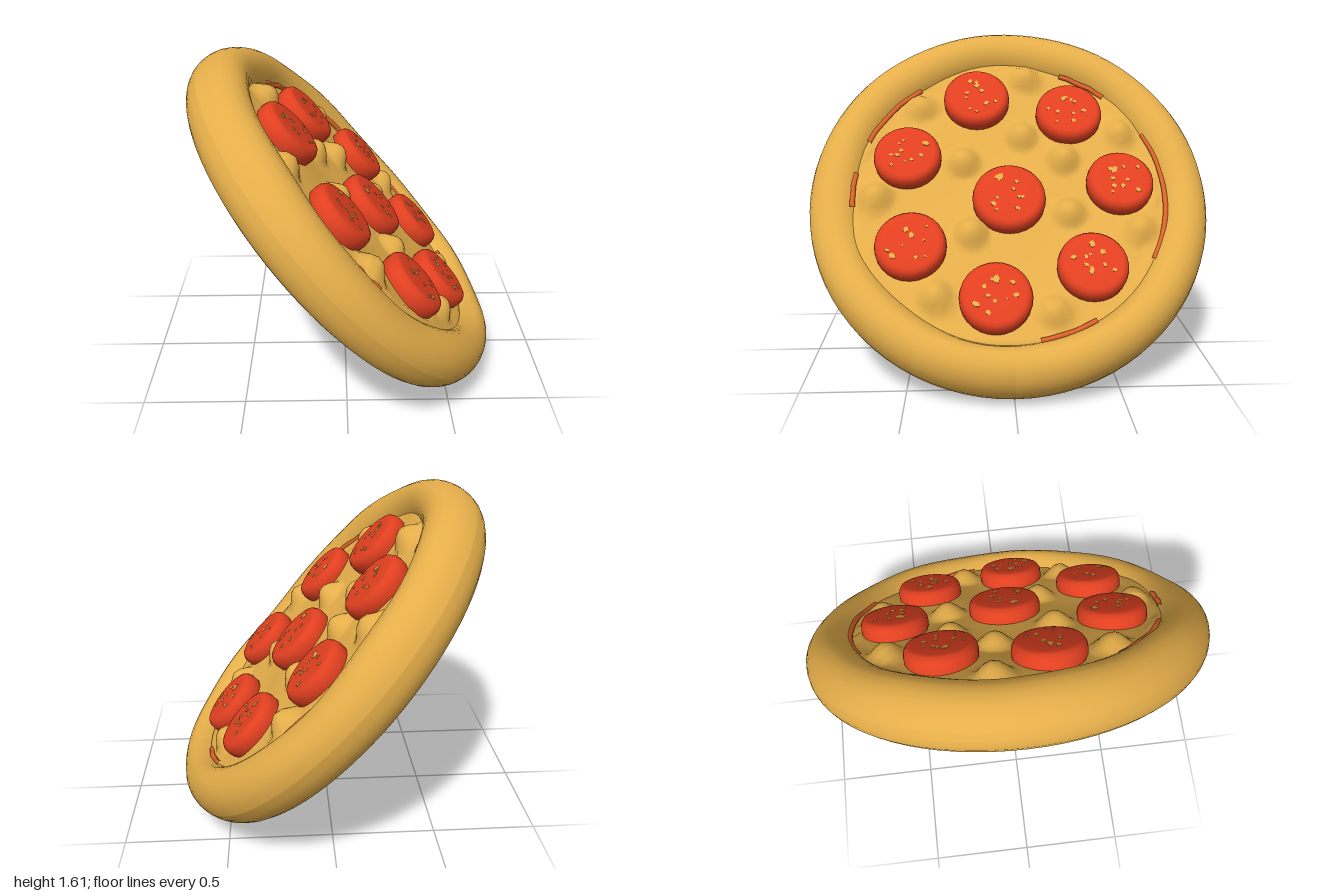
import * as THREE from 'three';

const dough = new THREE.MeshStandardMaterial({ color: 0xe5ae4a });
dough.name = 'golden dough';
const red = new THREE.MeshStandardMaterial({ color: 0xe24020 });
red.name = 'pepperoni red';
const orange = new THREE.MeshStandardMaterial({ color: 0xdf6429 });
orange.name = 'sauce orange';

// [x, z, radius] of the slices and [x, z] of the bubbles on the flat pizza
const SLICES = [[-0.53, 0.16, 0.172], [-0.435, -0.32, 0.172], [-0.175, 0.51, 0.17], [0.068, 0.005, 0.181],
  [-0.015, -0.55, 0.168], [0.32, 0.48, 0.172], [0.588, 0.08, 0.172], [0.437, -0.38, 0.17]];
const BUBBLES = [[-0.68, -0.1], [-0.5, 0.45], [-0.16, 0.23], [-0.175, -0.275], [-0.33, -0.58], [0.04, 0.66],
  [0.24, 0.195], [0.13, -0.29], [0.23, -0.63], [0.57, 0.36], [0.65, -0.19], [-0.32, -0.07]];
// Start and end angles of the sauce streaks
const STREAKS = [[-2.0, -1.05], [1.45, 1.7], [1.95, 2.5], [-0.5, -0.15], [-2.75, -2.4]];

let seed = 7;
const random = () => (seed = (seed * 16807) % 2147483647) / 2147483647;
const bell = (d, width) => Math.exp(-((d / width) ** 2));

function lathe(points, segments) {
  return new THREE.LatheGeometry(points.map(([r, y]) => new THREE.Vector2(r, y)), segments);
}

function addMesh(parent, name, geometry, material, x = 0, y = 0, z = 0) {
  const mesh = new THREE.Mesh(geometry, material);
  mesh.name = name;
  mesh.position.set(x, y, z);
  parent.add(mesh);
  return mesh;
}

// Moves every vertex by a rule, then smooths the normals
function warp(geometry, rule) {
  const p = geometry.attributes.position;
  const v = new THREE.Vector3();
  for (let i = 0; i < p.count; i++) {
    v.fromBufferAttribute(p, i);
    rule(v, Math.atan2(v.z, v.x), Math.hypot(v.x, v.z));
    p.setXYZ(i, v.x, v.y, v.z);
  }
  geometry.computeVertexNormals();
  return geometry;
}

export function createModel() {
  const model = new THREE.Group();
  model.name = 'pizza';
  const pizza = new THREE.Group();
  pizza.name = 'tiltedPizza';
  pizza.rotation.z = -0.835;
  pizza.position.y = 0.804;
  model.add(pizza);

  // Raised crust: an oval tube that dips along both sides and opens wider at the low end
  const crust = new THREE.TorusGeometry(0.875, 0.13, 24, 80);
  crust.rotateX(Math.PI / 2);
  crust.scale(1.014, 1.23, 0.995);
  warp(crust, (v, a, r) => {
    if (v.y > 0) {
      v.y *= 1 - 0.27 * bell(a - 1.35, 0.55) - 0.17 * bell(a + 1.35, 0.55) + 0.02 * Math.sin(9 * a);
    } else {
      v.y *= 0.96 + 0.07 * Math.cos(a);
    }
    const inner = THREE.MathUtils.clamp((0.875 - r) / 0.1, 0, 1);
    const k = 1 + inner * (0.02 * Math.cos(a) + 0.02 * Math.cos(a) ** 2 + 0.006 * Math.sin(7 * a));
    v.x *= k;
    v.z *= k;
  });
  addMesh(pizza, 'crust', crust, dough);

  // Slightly bulging underside
  addMesh(pizza, 'base', lathe([[0, -0.207], [0.4, -0.206], [0.7, -0.2], [0.79, -0.19],
    [0.835, -0.165], [0.845, -0.13], [0.83, -0.05]], 48), dough);

  // Sauce peeping out along the rim
  for (const [from, to] of STREAKS) {
    const points = [];
    for (let i = 0; i <= 6; i++) {
      const a = from + (to - from) * i / 6;
      const r = 0.776 + 0.02 * Math.cos(a);
      points.push(new THREE.Vector3(r * Math.cos(a), 0.092 + 0.004 * Math.sin(i * 2), r * Math.sin(a)));
    }
    const path = new THREE.CatmullRomCurve3(points);
    addMesh(pizza, 'sauceStreak', new THREE.TubeGeometry(path, 24, 0.013, 8), orange);
  }

  // Wavy cheese layer with bubbles swelling out of it
  const rings = [[0.84, 0.02], [0.82, 0.078]];
  for (let i = 40; i >= 0; i--) rings.push([i * 0.02, 0.086]);
  const cheese = warp(lathe(rings, 120), (v, a, r) => {
    if (r > 0.81) return;
    v.y += r > 0.74 ? 0.006 * Math.sin(6 * a + 2) : 0.01 * Math.sin(9 * v.x + 1) * Math.cos(8 * v.z);
    for (const [x, z] of BUBBLES) {
      const q = ((v.x - x) ** 2 + (v.z - z) ** 2) / 0.0095;
      if (q < 1) v.y += 0.066 * (1 - q) ** 1.4;
    }
  });
  addMesh(pizza, 'cheese', cheese, dough);

  // Pepperoni slices with rounded rims and small cheese flecks
  for (const [x, z, radius] of SLICES) {
    const group = new THREE.Group();
    group.name = 'pepperoni';
    group.position.set(x, 0.125, z);
    pizza.add(group);
    const slice = lathe([[radius - 0.012, -0.055], [radius - 0.002, -0.035], [radius, -0.005],
      [radius - 0.004, 0.018], [radius - 0.016, 0.036], [radius - 0.034, 0.043], [0.08, 0.044], [0, 0.044]], 28);
    addMesh(group, 'pepperoniSlice', slice, red);
    for (let i = 0; i < 10; i++) {
      const a = i * 2.4 + random();
      const r = 0.03 + 0.085 * random();
      const size = 0.007 + 0.008 * random();
      const fleck = addMesh(group, 'cheeseFleck', new THREE.CylinderGeometry(size, size, 0.004, 5),
        dough, r * Math.cos(a), 0.044, r * Math.sin(a));
      fleck.scale.x = 0.6 + random();
      fleck.rotation.y = a;
    }
  }
  return model;
}
